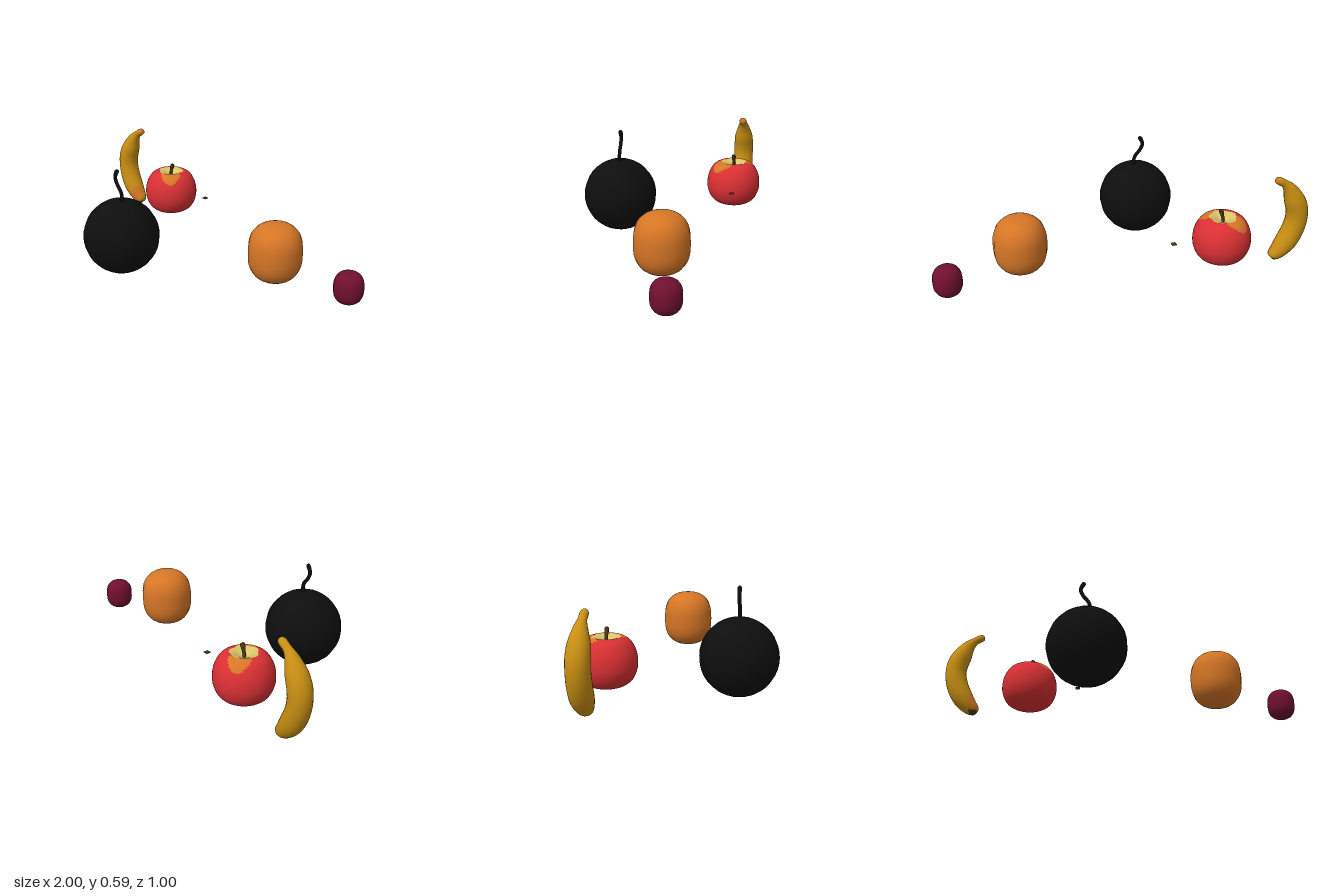
import * as THREE from 'three';
import { mergeVertices } from 'three/addons/utils/BufferGeometryUtils.js';

const V2 = (x, y) => new THREE.Vector2(x, y);
const V3 = (x, y, z) => new THREE.Vector3(x, y, z);

// Weld seams so the shading is smooth all round
function weld(geo) {
  geo.deleteAttribute('uv');
  geo.deleteAttribute('normal');
  const out = mergeVertices(geo, 1e-5);
  out.computeVertexNormals();
  return out;
}

// Sort faces into material groups; pick(centroid) returns the material index
function paint(geo, count, pick) {
  const idx = geo.index.array, pos = geo.attributes.position;
  const buckets = Array.from({ length: count }, () => []);
  const p = V3(0, 0, 0), c = V3(0, 0, 0);
  for (let i = 0; i < idx.length; i += 3) {
    c.set(0, 0, 0);
    for (let k = 0; k < 3; k++) c.add(p.fromBufferAttribute(pos, idx[i + k]));
    buckets[pick(c.divideScalar(3))].push(idx[i], idx[i + 1], idx[i + 2]);
  }
  geo.clearGroups();
  geo.setIndex(buckets.flat());
  let start = 0;
  buckets.forEach((b, m) => {
    geo.addGroup(start, b.length, m);
    start += b.length;
  });
  return geo;
}

// Squarish round fruit, a superellipse turned about y
function roundFruit(r, h, sides) {
  const pts = [];
  for (let i = 0; i <= 24; i++) {
    const a = -Math.PI / 2 + (Math.PI * i) / 24, e = 2 / 2.6;
    const x = i % 24 ? r * Math.pow(Math.cos(a), e) : 0;
    pts.push(V2(x, h * Math.sign(a) * Math.pow(Math.abs(Math.sin(a)), e)));
  }
  return weld(new THREE.LatheGeometry(pts, sides));
}

// Round sections along a path in the xy plane; z of each point is the radius
function loft(points, rings, sides) {
  const curve = new THREE.CatmullRomCurve3(points, false, 'centripetal');
  const pos = [], idx = [];
  for (let i = 0; i <= rings; i++) {
    const p = curve.getPoint(i / rings), t = curve.getTangent(i / rings);
    const l = Math.hypot(t.x, t.y) || 1;
    for (let j = 0; j < sides; j++) {
      const a = (j / sides) * Math.PI * 2, r = Math.max(p.z, 0), n = r * Math.cos(a);
      pos.push(p.x - (t.y / l) * n, p.y + (t.x / l) * n, r * Math.sin(a));
      if (i < rings) {
        const q = i * sides + j, s = i * sides + ((j + 1) % sides);
        idx.push(q, s, q + sides, s, s + sides, q + sides);
      }
    }
  }
  const geo = new THREE.BufferGeometry();
  geo.setAttribute('position', new THREE.Float32BufferAttribute(pos, 3));
  geo.setIndex(idx);
  geo.computeVertexNormals();
  return geo;
}

export function createModel() {
  const group = new THREE.Group();
  const mat = (name, color) => {
    const m = new THREE.MeshStandardMaterial({ color });
    m.name = name;
    return m;
  };
  const black = mat('black', 0x0e0e0f), red = mat('red', 0xda3033);
  const cream = mat('cream', 0xd9c468), orange = mat('orange', 0xd67626);
  const plum = mat('plum', 0x70102f), yellow = mat('yellow', 0xc98f12);
  const brown = mat('brown', 0x4f3a14);
  const add = (name, geo, material, x, y, z) => {
    const m = new THREE.Mesh(geo, material);
    m.name = name;
    m.position.set(x, y, z);
    group.add(m);
  };

  // Bomb with a wavy fuse
  add('bombBody', new THREE.SphereGeometry(0.209, 20, 20), black, -0.243, 0.21, 0.288);
  const fuse = [[-0.245, 0.38, 0.01], [-0.23, 0.425, 0.01], [-0.237, 0.465, 0.01], [-0.268, 0.505, 0.01],
    [-0.281, 0.54, 0.01], [-0.263, 0.58, 0.01], [-0.26, 0.584, 0]];
  add('bombFuse', loft(fuse.map(p => V3(...p)), 40, 10), black, 0, 0, 0.288);

  // Orange and plum
  add('orangeFruit', roundFruit(0.143, 0.159, 18), orange, 0.522, 0.237, -0.103);
  add('plumFruit', roundFruit(0.077, 0.085, 18), plum, 0.921, 0.145, -0.198);

  // Apple with a pale dimple and two blotches
  const profile = [[0, 0.122], [0.04, 0.113], [0.08, 0.112], [0.125, 0.14], [0.15, 0.19], [0.155, 0.24],
    [0.146, 0.29], [0.122, 0.335], [0.092, 0.357], [0.07, 0.361], [0.045, 0.352], [0.02, 0.338], [0, 0.333]];
  const points = new THREE.SplineCurve(profile.map(p => V2(...p))).getPoints(72);
  points[0].x = points[72].x = 0;
  const apple = paint(weld(new THREE.LatheGeometry(points, 48)), 3, c => {
    const r = Math.hypot(c.x, c.z), a = (Math.atan2(c.z, c.x) * 180 / Math.PI + 360) % 360;
    if (c.y < 0.3) return 0;
    if (r < 0.071 + 0.004 * Math.sin(a / 12)) return 1;
    const blotch = (a0, a1) => a > a0 && a < a1 && r < 0.09 + 0.045 * Math.sin(Math.PI * (a - a0) / (a1 - a0));
    return blotch(5, 85) || blotch(195, 275) ? 2 : 0;
  });
  add('appleBody', apple, [red, cream, orange], -0.518, 0, -0.343);
  const stem = [[-0.522, 0.325, 0.008], [-0.515, 0.365, 0.009], [-0.503, 0.402, 0.011], [-0.502, 0.404, 0]];
  add('appleStem', loft(stem.map(p => V3(...p)), 12, 8), brown, 0, 0, -0.343);

  // Banana with a bruised lower end
  const path = [[-0.794, 0.547, 0], [-0.799, 0.545, 0.015], [-0.815, 0.538, 0.021], [-0.848, 0.517, 0.022],
    [-0.882, 0.48, 0.036], [-0.913, 0.42, 0.054], [-0.936, 0.36, 0.059], [-0.941, 0.3, 0.059],
    [-0.926, 0.23, 0.06], [-0.892, 0.16, 0.058], [-0.85, 0.108, 0.046], [-0.821, 0.085, 0.033],
    [-0.81, 0.077, 0.022], [-0.806, 0.074, 0]];
  const banana = paint(loft(path.map(p => V3(...p)), 80, 24), 3, c => {
    if (c.y > 0.53 && c.x > -0.806) return 1;
    if (c.x > -0.85 && c.y < 0.078) return 2;
    return Math.hypot(c.x + 0.83, (c.y - 0.13) * 0.8) < 0.035 && c.z > 0 ? 1 : 0;
  });
  add('bananaBody', banana, [yellow, orange, brown], 0, 0, -0.363);

  // Small loose chip
  add('stemChip', new THREE.BoxGeometry(0.025, 0.004, 0.025), brown, -0.24, 0.253, -0.361);
  return group;
}
